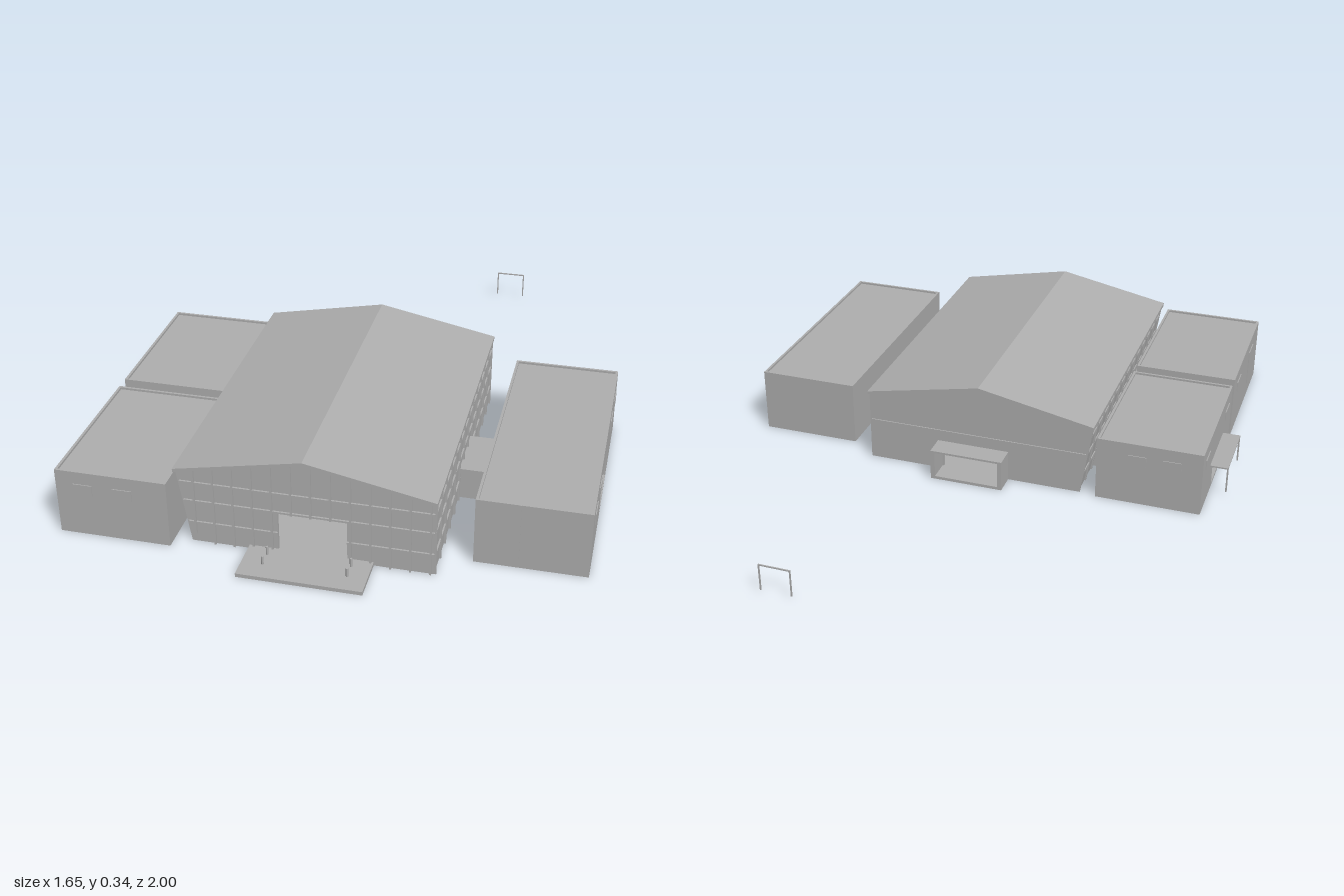
import * as THREE from 'three';

const grey = new THREE.MeshStandardMaterial({ color: 0xb0b0b0 });
grey.name = 'plainGrey';

export function createModel() {
  const model = new THREE.Group();
  model.name = 'hallComplex';

  const group = (name) => {
    const g = new THREE.Group();
    g.name = name;
    model.add(g);
    return g;
  };
  // Box given by its limits on each axis
  const box = (parent, name, x0, x1, y0, y1, z0, z1) => {
    const m = new THREE.Mesh(new THREE.BoxGeometry(x1 - x0, y1 - y0, z1 - z0), grey);
    m.position.set((x0 + x1) / 2, (y0 + y1) / 2, (z0 + z1) / 2);
    m.name = name;
    parent.add(m);
    return m;
  };
  // Outline in x and y, extruded from z0 to z1, with an optional doorway notch in the outline
  const prism = (parent, name, pts, z0, z1) => {
    const shape = new THREE.Shape(pts.map(([x, y]) => new THREE.Vector2(x, y)));
    const m = new THREE.Mesh(
      new THREE.ExtrudeGeometry(shape, { depth: z1 - z0, bevelEnabled: false }), grey);
    m.position.z = z0;
    m.name = name;
    parent.add(m);
    return m;
  };

  // Main hall: gabled, with the -x wall leaning outwards
  const hall = group('mainHall');
  const ridgeX = -0.008, zB = -0.15, zF = 0.856;
  const leanX = (y) => -0.355 - 0.16 * y;
  const roofY = (x) => 0.324 - Math.abs(x - ridgeX) * 0.195;
  const gable = (doorTop) => [
    [-0.355, 0], [-0.09, 0], [-0.09, doorTop], [0.12, doorTop], [0.12, 0], [0.38, 0],
    [0.38, 0.248], [ridgeX, 0.324], [-0.395, 0.248]];
  prism(hall, 'frontWall', gable(0.14), zF - 0.01, zF);
  prism(hall, 'backWall', gable(0.1), zB, zB + 0.01);
  prism(hall, 'leaningWall',
    [[-0.355, 0], [-0.345, 0], [-0.385, 0.25], [-0.395, 0.248]], zB, zF);
  box(hall, 'sideWall', 0.37, 0.38, 0, 0.248, zB, zF);
  box(hall, 'hallFloor', -0.355, 0.38, 0, 0.01, zB, zF);
  prism(hall, 'roof', [[-0.403, 0.246], [ridgeX, 0.324], [0.388, 0.246],
    [0.388, 0.257], [ridgeX, 0.335], [-0.403, 0.257]], -0.163, 0.87);

  // Rafters inside the roof
  for (let i = 0; i < 13; i++) {
    const z = zB + 0.03 + i * 0.077;
    prism(hall, 'rafter', [[-0.38, 0.235], [ridgeX, 0.31], [0.37, 0.235],
      [0.37, 0.248], [ridgeX, 0.323], [-0.38, 0.248]], z, z + 0.008);
  }

  // Facade grid on the front, split around the doorway
  for (let i = 0; i < 13; i++) {
    const x = -0.345 + i * 0.0595;
    const overDoor = x > -0.09 && x < 0.12;
    const foot = overDoor ? 0.14 : x < -0.34 ? 0.03 : 0;
    box(hall, 'frontMullion', x - 0.003, x + 0.003, foot, roofY(x), zF, zF + 0.008);
  }
  for (const y of [0.07, 0.145, 0.21]) {
    const spans = y < 0.14 ? [[leanX(y), -0.09], [0.12, 0.38]] : [[leanX(y), 0.38]];
    for (const [a, b] of spans) box(hall, 'frontTransom', a, b, y - 0.003, y + 0.003, zF, zF + 0.006);
  }

  // Facade grid on both long sides
  for (let i = 0; i < 14; i++) {
    const z = zB + 0.003 + i * 0.0769;
    box(hall, 'sideMullion', 0.38, 0.386, 0, 0.248, z - 0.003, z + 0.003);
    prism(hall, 'leaningMullion',
      [[-0.36, 0], [-0.355, 0], [-0.395, 0.248], [-0.4, 0.248]], z - 0.003, z + 0.003);
  }
  for (const y of [0.07, 0.145, 0.21]) {
    box(hall, 'sideTransom', 0.38, 0.385, y - 0.003, y + 0.003, zB, zF);
    box(hall, 'leaningTransom', leanX(y) - 0.004, leanX(y) + 0.001, y - 0.003, y + 0.003, zB, zF);
  }
  box(hall, 'backLedge', leanX(0.145), 0.38, 0.143, 0.148, zB - 0.004, zB);

  // Front terrace with bollards
  const terrace = group('frontTerrace');
  box(terrace, 'terraceSlab', -0.18, 0.2, 0, 0.012, zF, 1);
  for (const x of [-0.115, 0.14]) for (const z of [0.89, 0.938]) {
    const bollard = new THREE.Mesh(new THREE.CylinderGeometry(0.004, 0.004, 0.028, 8), grey);
    bollard.position.set(x, 0.026, z);
    bollard.name = 'bollard';
    terrace.add(bollard);
  }

  // Back porch, open at both ends
  const porch = group('backPorch');
  box(porch, 'porchFloor', -0.11, 0.14, 0, 0.01, -0.225, zB);
  box(porch, 'porchRoof', -0.11, 0.14, 0.099, 0.106, -0.225, zB);
  box(porch, 'porchSide', -0.11, -0.095, 0.01, 0.099, -0.225, zB);
  box(porch, 'porchSide', 0.125, 0.14, 0.01, 0.099, -0.225, zB);

  // Flat-roofed annex with a low parapet; door = [z0, z1, top] cuts the wall at sideX
  const annex = (name, x0, x1, z0, z1, doorOnPlusX, door) => {
    const g = group(name), h = 0.22, t = 0.008;
    box(g, 'floor', x0, x1, 0, 0.01, z0, z1);
    box(g, 'upperFloor', x0 + t, x1 - t, 0.105, 0.113, z0 + t, z1 - t);
    box(g, 'flatRoof', x0 + t, x1 - t, 0.203, 0.213, z0 + t, z1 - t);
    box(g, 'frontWall', x0, x1, 0.01, h, z1 - t, z1);
    box(g, 'backWall', x0, x1, 0.01, h, z0, z0 + t);
    for (const plus of [false, true]) {
      const a = plus ? x1 - t : x0, b = a + t;
      if (door && plus === doorOnPlusX) {
        box(g, 'sideWall', a, b, 0.01, h, z0 + t, door[0]);
        box(g, 'sideWall', a, b, 0.01, h, door[1], z1 - t);
        box(g, 'doorLintel', a, b, door[2], h, door[0], door[1]);
      } else box(g, 'sideWall', a, b, 0.01, h, z0 + t, z1 - t);
    }
    return g;
  };
  // Thin window plates on walls facing x or z
  const windowOnX = (g, x, z) => box(g, 'window', x - 0.003, x + 0.003, 0.142, 0.178, z - 0.035, z + 0.035);
  const windowOnZ = (g, x, z) => box(g, 'window', x - 0.03, x + 0.03, 0.142, 0.178, z - 0.003, z + 0.003);

  const longAnnex = annex('longAnnex', 0.48, 0.82, -0.08, 0.77, true, [0.235, 0.455, 0.125]);
  for (const z of [0.67, 0.53, 0.145, 0.01]) windowOnX(longAnnex, 0.82, z);
  box(longAnnex, 'wallSeam', 0.61, 0.614, 0.01, 0.22, 0.77, 0.772);

  const backAnnex = annex('backAnnex', -0.765, -0.415, -0.16, 0.345, false, [0.03, 0.16, 0.1]);
  for (const x of [-0.55, -0.665]) windowOnZ(backAnnex, x, -0.16);
  for (const z of [-0.08, 0.26]) windowOnX(backAnnex, -0.765, z);

  const frontAnnex = annex('frontAnnex', -0.765, -0.415, 0.39, 0.9);
  for (const x of [-0.68, -0.555]) windowOnZ(frontAnnex, x, 0.9);
  windowOnX(frontAnnex, -0.765, 0.49);
  box(frontAnnex, 'tallWindow', -0.768, -0.762, 0.05, 0.18, 0.7, 0.78);

  // Low links between the buildings
  const links = group('links');
  box(links, 'longAnnexLink', 0.375, 0.485, 0, 0.105, 0.25, 0.45);
  box(links, 'backAnnexLink', -0.42, -0.35, 0, 0.105, 0.03, 0.15);
  box(links, 'frontAnnexLink', -0.42, -0.35, 0, 0.105, 0.54, 0.67);
  box(links, 'annexLink', -0.65, -0.53, 0, 0.105, 0.34, 0.395);

  // Canopy on two posts
  const canopy = group('canopy');
  box(canopy, 'canopyRoof', -0.825, -0.765, 0.101, 0.106, -0.02, 0.21);
  for (const z of [-0.015, 0.2]) box(canopy, 'canopyPost', -0.825, -0.82, 0.012, 0.101, z, z + 0.005);

  // Freestanding gate frame behind the hall
  const gate = group('gateFrame');
  box(gate, 'gateBar', 0.28, 0.385, 0.1, 0.104, -1, -0.996);
  for (const x of [0.28, 0.381]) box(gate, 'gatePost', x, x + 0.004, 0.012, 0.1, -1, -0.996);

  return model;
}
